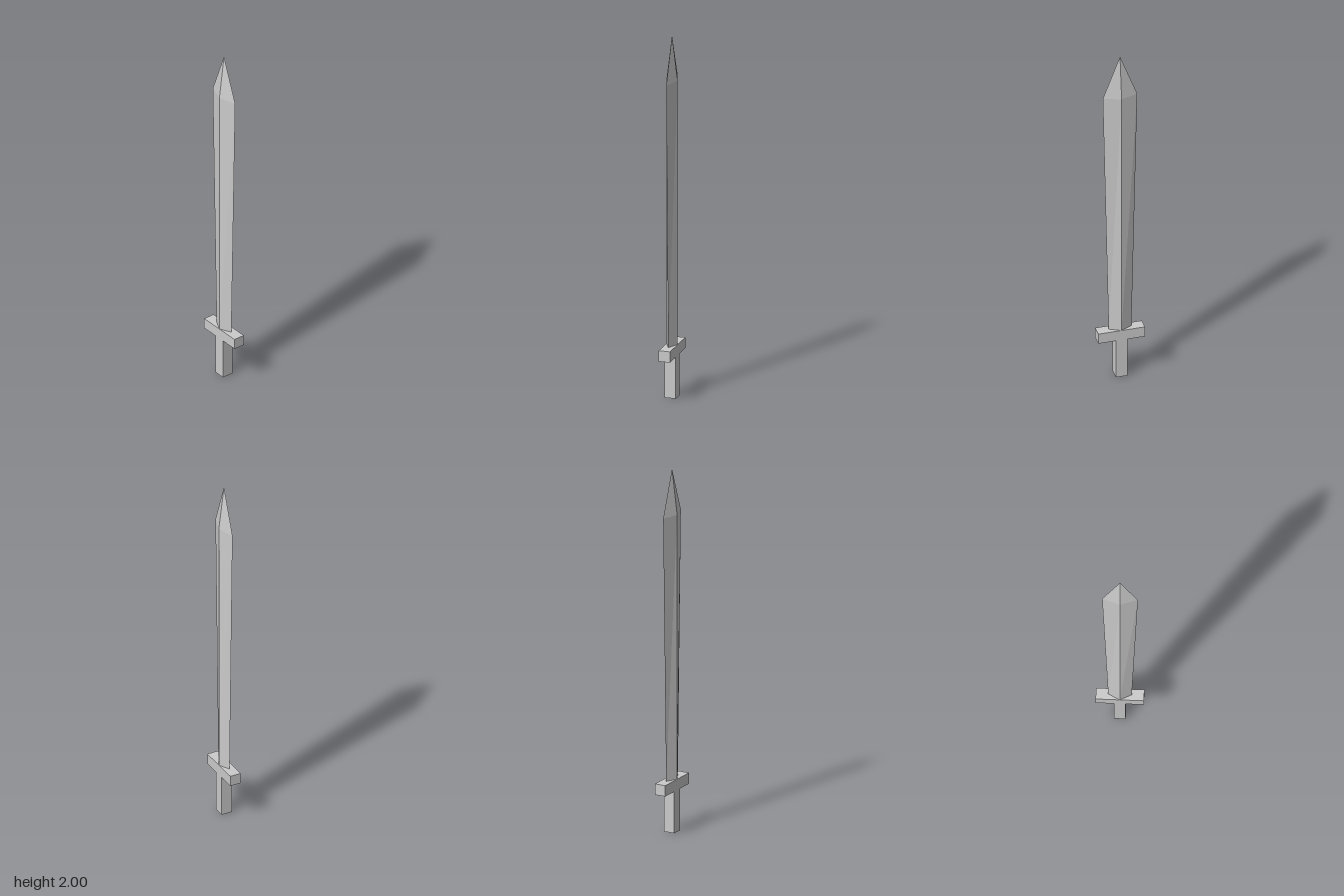
import * as THREE from 'three';

const material = new THREE.MeshStandardMaterial({ color: 0xcccccc, flatShading: true });

const DEPTH = 0.062; // shared front-to-back thickness

function box(name, width, bottom, top) {
  const mesh = new THREE.Mesh(new THREE.BoxGeometry(width, top - bottom, DEPTH), material);
  mesh.name = name;
  mesh.position.y = (bottom + top) / 2;
  return mesh;
}

// Diamond-section blade: one ring per level of { y, half width, half depth }
function blade() {
  const levels = [
    { y: 2.0, w: 0, d: 0 },
    { y: 1.75, w: 0.094, d: DEPTH / 2 },
    { y: 0.29, w: 0.062, d: DEPTH / 2 },
  ];
  const geometry = new THREE.CylinderGeometry(1, 1, 2, 4, levels.length - 1, true);
  const p = geometry.attributes.position;
  for (let i = 0; i < p.count; i++) {
    const { y, w, d } = levels[Math.round(1 - p.getY(i))];
    p.setXYZ(i, p.getX(i) * w, y, p.getZ(i) * d);
  }
  geometry.computeVertexNormals();
  const mesh = new THREE.Mesh(geometry, material);
  mesh.name = 'blade';
  return mesh;
}

export function createModel() {
  const sword = new THREE.Group();
  sword.name = 'sword';
  sword.add(
    box('grip', 0.062, 0, 0.23),
    box('crossguard', 0.254, 0.23, 0.29),
    blade(),
  );
  return sword;
}
